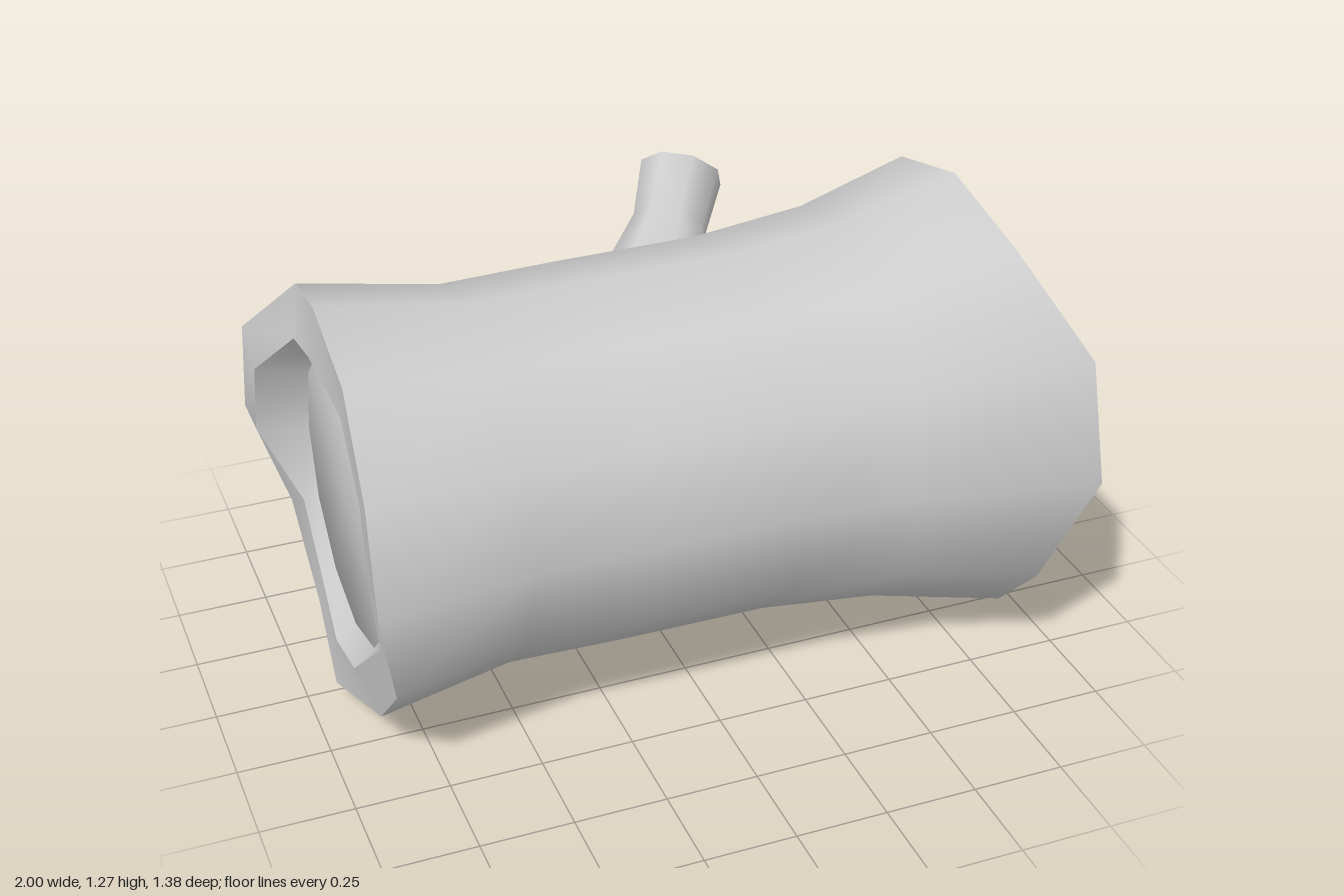
import * as THREE from 'three';

// Smooth skin along +x through rings [x, r]; x is a number or one value per corner
// (corners run from the top towards +z). bulge > 0 tilts the normals of an end face outwards.
function loft(rings, sides, bulge = 0, facing = 1) {
  const pos = [], nor = [], idx = [];
  for (const [x, r] of rings) {
    for (let j = 0; j < sides; j++) {
      const a = (j / sides) * Math.PI * 2;
      pos.push(Array.isArray(x) ? x[j] : x, r * Math.cos(a), r * Math.sin(a));
      const tilt = r > 0.01 ? bulge : 0;
      const n = new THREE.Vector3(facing, tilt * Math.cos(a), tilt * Math.sin(a)).normalize();
      nor.push(n.x, n.y, n.z);
    }
  }
  for (let i = 0; i < rings.length - 1; i++) {
    for (let j = 0; j < sides; j++) {
      const k = (j + 1) % sides;
      const a = i * sides + j, b = i * sides + k, c = a + sides, d = b + sides;
      idx.push(a, b, c, b, d, c);
    }
  }
  const g = new THREE.BufferGeometry();
  g.setAttribute('position', new THREE.Float32BufferAttribute(pos, 3));
  g.setIndex(idx);
  if (bulge) g.setAttribute('normal', new THREE.Float32BufferAttribute(nor, 3));
  else g.computeVertexNormals();
  return g;
}

export function createModel() {
  const model = new THREE.Group();
  model.name = 'hollowLog';
  const wood = new THREE.MeshStandardMaterial({ color: 0xcccccc });
  wood.name = 'paleGrey';

  const add = (parent, name, geometry) => {
    const m = new THREE.Mesh(geometry, wood);
    m.name = name;
    parent.add(m);
  };

  // Uneven broken ends: x of each of the twelve corners
  const rightOuter = [0.84, 0.86, 0.98, 0.985, 0.87, 0.9, 0.9, 0.9, 0.905, 0.885, 0.88, 0.845];
  const rightLip = [0.905, 0.905, 0.99, 1.0, 0.9, 0.91, 0.905, 0.91, 0.905, 0.9, 0.9, 0.905];
  const leftOuter = [-0.91, -0.915, -0.93, -0.935, -0.885, -0.88, -0.93, -0.9, -0.91, -1.0, -1.0, -0.89];
  const leftLip = [-0.93, -0.91, -0.915, -0.92, -0.89, -0.925, -0.92, -0.9, -0.9, -1.0, -1.0, -0.92];

  const log = new THREE.Group();
  log.name = 'log';
  log.position.set(0, 0.637, 0.055);
  model.add(log);

  // Waisted trunk
  add(log, 'trunk', loft([
    [leftOuter, 0.567], [-0.52, 0.503], [-0.2, 0.51], [0.2, 0.512], [0.52, 0.545], [rightOuter, 0.634],
  ], 12));

  // Right end: rim, inner wall, sunken face
  add(log, 'rightRim', loft([[rightOuter, 0.634], [rightLip, 0.48]], 12));
  add(log, 'rightInnerWall', loft([[rightLip, 0.48], [0.855, 0.437]], 12));
  add(log, 'rightEndFace', loft([[0.855, 0.437], [0.86, 0]], 12, 0.6, 1));

  // Left end, same build in reverse order
  add(log, 'leftRim', loft([[leftLip, 0.43], [leftOuter, 0.567]], 12));
  add(log, 'leftInnerWall', loft([[-0.865, 0.39], [leftLip, 0.43]], 12));
  add(log, 'leftEndFace', loft([[-0.87, 0], [-0.865, 0.39]], 12, 0.6, -1));

  // Broken branch stub leaning up, back and to the left
  const branch = new THREE.Group();
  branch.name = 'branch';
  const dir = new THREE.Vector3(0.72, 0.95, -1).normalize();
  branch.position.set(0.32, 1.08, -0.6);
  branch.quaternion.setFromUnitVectors(new THREE.Vector3(1, 0, 0), dir);
  model.add(branch);
  add(branch, 'branchBark', loft([[-0.46, 0.19], [-0.33, 0.15], [-0.17, 0.107], [0, 0.12]], 8));
  add(branch, 'branchRim', loft([[0, 0.12], [0.005, 0.092]], 8));
  add(branch, 'branchHollow', loft([[0.005, 0.092], [-0.05, 0.075]], 8));
  add(branch, 'branchEndFace', loft([[-0.05, 0.075], [-0.05, 0]], 8, 0.3, 1));

  return model;
}
